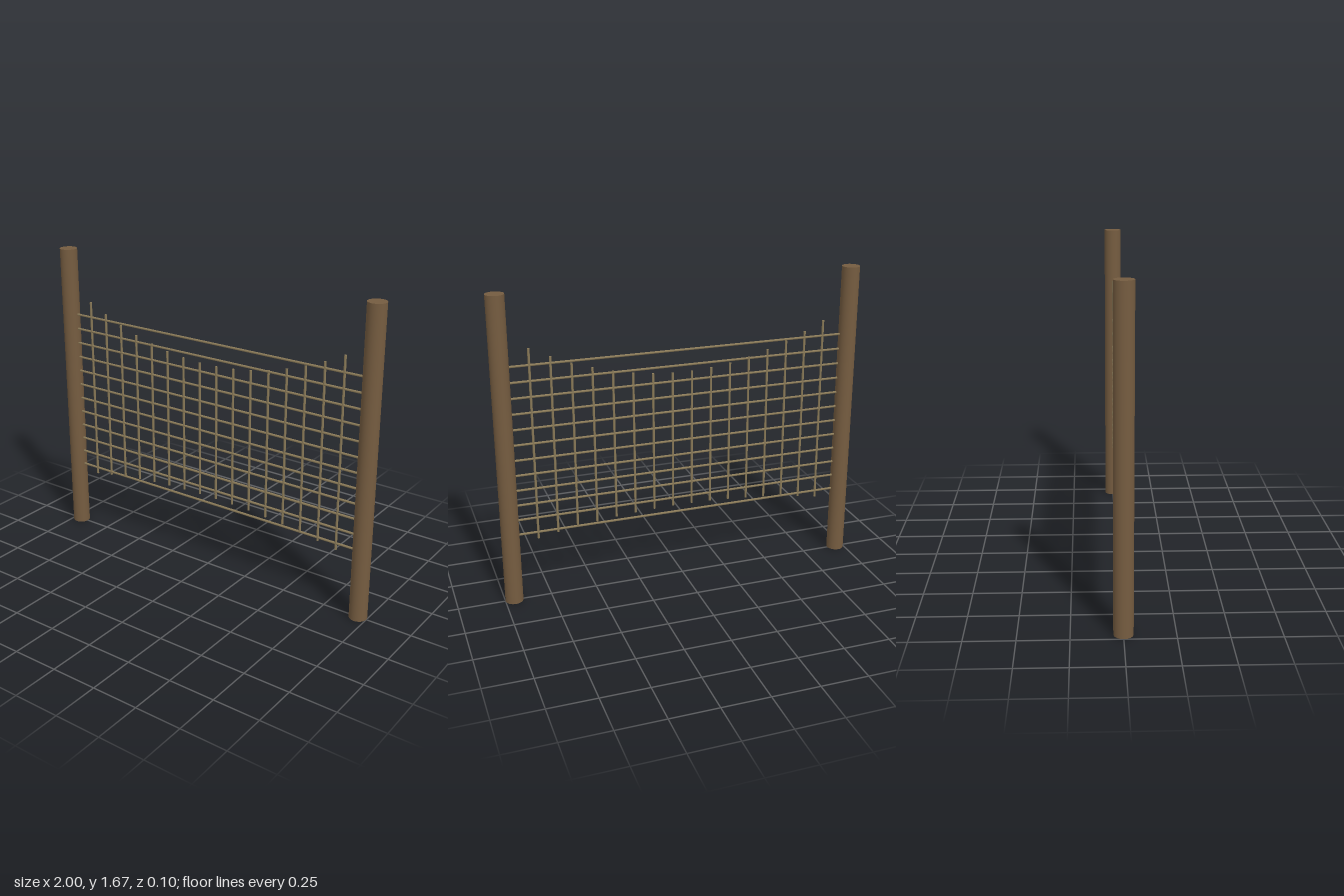
import * as THREE from 'three';

export function createModel() {
  const model = new THREE.Group();
  model.name = 'ropeNetFence';
  const wood = new THREE.MeshStandardMaterial({ color: 0x755c40 });
  wood.name = 'weatheredWood';
  const rope = new THREE.MeshStandardMaterial({ color: 0x8a7a58 });
  rope.name = 'tanRope';

  const POST_X = 0.952, POST_R = 0.048, POST_H = 1.673, ROPE_R = 0.0065;

  const addRod = (parent, name, material, radius, length, x, y, sides) => {
    const mesh = new THREE.Mesh(new THREE.CylinderGeometry(radius, radius, length, sides), material);
    mesh.name = name;
    mesh.position.set(x, y, 0);
    parent.add(mesh);
    return mesh;
  };

  // Two upright round posts
  addRod(model, 'leftPost', wood, POST_R, POST_H, POST_X, POST_H / 2, 32);
  addRod(model, 'rightPost', wood, POST_R, POST_H, -POST_X, POST_H / 2, 32);

  // Evenly spaced horizontal strands between the posts
  const horizontals = new THREE.Group();
  horizontals.name = 'horizontalStrands';
  for (let i = 0; i < 12; i++) {
    const y = 0.381 + i * 0.0836;
    addRod(horizontals, 'horizontalStrand', rope, ROPE_R, 2 * POST_X - POST_R, 0, y, 8).rotation.z = Math.PI / 2;
  }

  // Vertical strands, longest beside the posts, following shallow curves
  const verticals = new THREE.Group();
  verticals.name = 'verticalStrands';
  for (let i = 0; i < 16; i++) {
    const t = (i - 7.5) / 7.5;
    const top = 1.18 + 0.207 * t * t;
    const bottom = 0.42 - 0.075 * t * t;
    addRod(verticals, 'verticalStrand', rope, ROPE_R, top - bottom, 0.803 * t, (top + bottom) / 2, 8);
  }

  model.add(horizontals, verticals);
  return model;
}
